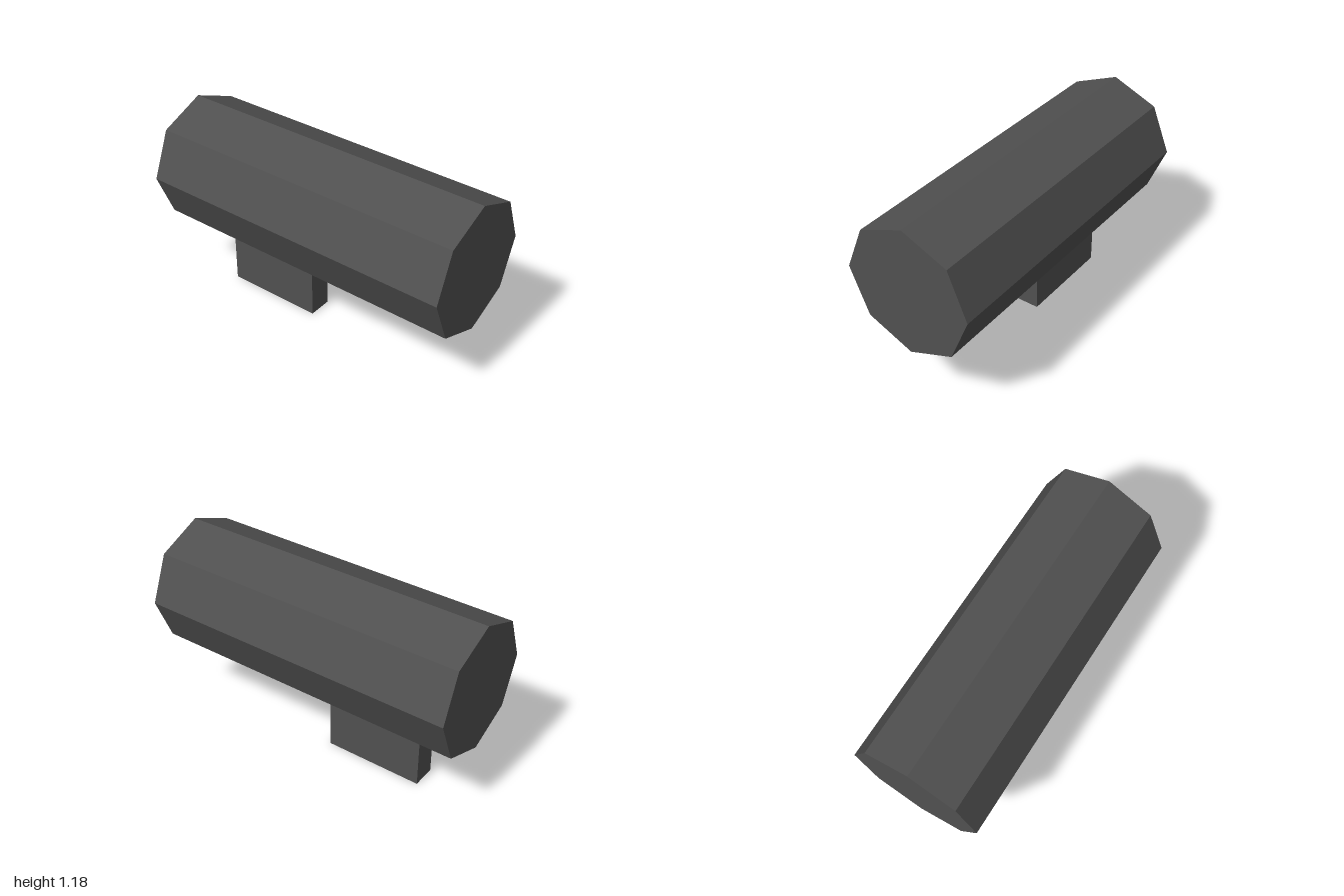
import * as THREE from 'three';

export function createModel() {
  const group = new THREE.Group();
  const darkGrey = new THREE.MeshStandardMaterial({ color: 0x505050, flatShading: true });
  darkGrey.name = 'darkGrey';

  // Eight-sided tube lying along x, with a corner at top and bottom
  const tube = new THREE.Mesh(new THREE.CylinderGeometry(0.4, 0.4, 2, 8), darkGrey);
  tube.name = 'tube';
  tube.rotation.z = Math.PI / 2;
  tube.position.y = 0.783;
  group.add(tube);

  // Mounting block, its top sunk into the tube
  const mount = new THREE.Mesh(new THREE.BoxGeometry(0.625, 0.45, 0.15), darkGrey);
  mount.name = 'mount';
  mount.position.set(-0.377, 0.225, 0);
  group.add(mount);

  return group;
}
